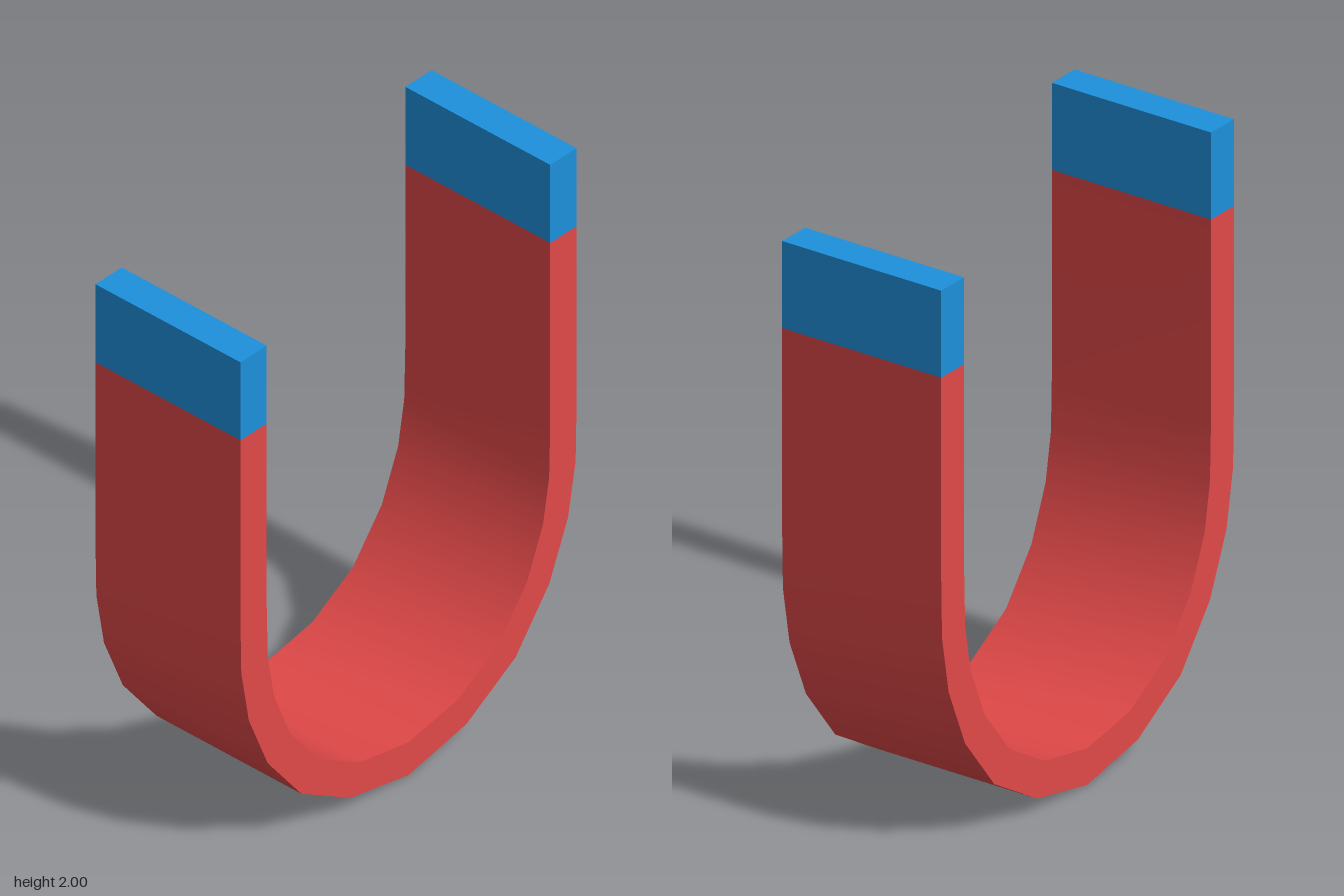
import * as THREE from 'three';
import { toCreasedNormals } from 'three/addons/utils/BufferGeometryUtils.js';

const DEPTH = 0.614;
const TIP_Y = 1.7;

// Half profiles of the bend, from the arm down to the bottom centre
const OUTER = [[0.774, TIP_Y], [0.774, 1.0], [0.77, 0.8], [0.735, 0.6], [0.648, 0.39], [0.493, 0.19], [0.267, 0.054], [0, 0]];
const INNER = [[0.653, TIP_Y], [0.653, 1.0], [0.648, 0.8], [0.62, 0.635], [0.545, 0.45], [0.412, 0.28], [0.225, 0.168], [0, 0.126]];

// Full U-shaped line from right arm to left arm
function mirrored(half) {
  const other = half.slice(0, -1).reverse().map(([x, y]) => [-x, y]);
  return [...half, ...other].map(([x, y]) => new THREE.Vector2(x, y));
}

export function createModel() {
  const group = new THREE.Group();
  group.name = 'horseshoeMagnet';
  const red = new THREE.MeshStandardMaterial({ color: 0xe04848 });
  const blue = new THREE.MeshStandardMaterial({ color: 0x1e90dc });

  // Curved body: smooth along the bend, sharp at the rims
  const shape = new THREE.Shape([...mirrored(OUTER), ...mirrored(INNER).reverse()]);
  const geometry = new THREE.ExtrudeGeometry(shape, { depth: DEPTH, bevelEnabled: false });
  geometry.translate(0, 0, -DEPTH / 2);
  const body = new THREE.Mesh(toCreasedNormals(geometry, 0.6), red);
  body.name = 'body';
  group.add(body);

  // Pole tips on both arms
  const width = OUTER[0][0] - INNER[0][0];
  const height = 2 - TIP_Y;
  for (const side of [1, -1]) {
    const tip = new THREE.Mesh(new THREE.BoxGeometry(width, height, DEPTH), blue);
    tip.name = side > 0 ? 'leftTip' : 'rightTip';
    tip.position.set(side * (INNER[0][0] + width / 2), TIP_Y + height / 2, 0);
    group.add(tip);
  }
  return group;
}
